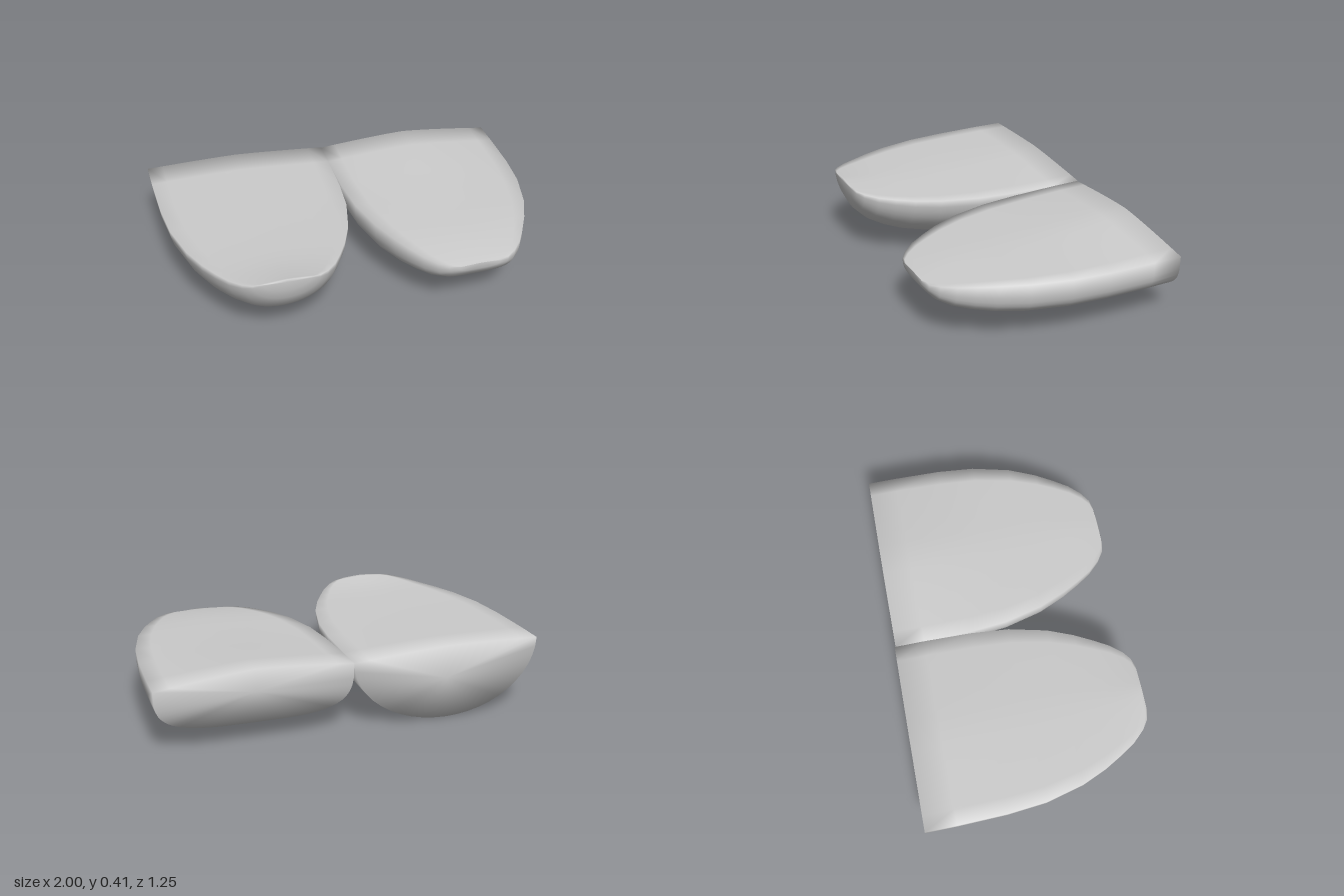
import * as THREE from 'three';

const TOP = 12, BOTTOM = 24;

// Closed hull lofted from stations: [z, half width, bottom y, -x rim y, +x rim y, ridge y]
function makeHull(name, cx, power, stations) {
  const pos = [], index = [], ring = TOP + BOTTOM;

  for (const [z, w, low, rimMinus, rimPlus, ridge] of stations) {
    const rim = u => rimMinus + (rimPlus - rimMinus) * (u + 1) / 2;
    const add = (u, y) => {
      const x = cx + u * w;
      // the straight back edge is slightly skewed
      pos.push(x, y, z + (z < 0 ? 0.017 * x * (z / -0.61) : 0));
    };
    // deck, from the +x rim over the ridge to the -x rim
    for (let i = 0; i < TOP; i++) {
      const u = 1 - 2 * i / TOP;
      add(u, rim(u) + (ridge - rim(0)) * (1 - Math.abs(u) ** 1.3));
    }
    // belly, a superellipse from the -x rim back to the +x rim
    for (let i = 0; i < BOTTOM; i++) {
      const a = Math.PI * i / BOTTOM, c = -Math.cos(a);
      const u = Math.sign(c) * Math.abs(c) ** (2 / power);
      const depth = Math.sin(a) ** (2 / power);
      add(u, rim(u) + (low - rim(u)) * depth);
    }
  }

  // skin between the stations
  for (let s = 0; s < stations.length - 1; s++) {
    for (let j = 0; j < ring; j++) {
      const a = s * ring + j, b = s * ring + (j + 1) % ring;
      index.push(a, b, a + ring, b, b + ring, a + ring);
    }
  }

  // back wall and nose, sharing the skin's points so the shading flows over
  const cap = (s, front) => {
    const [z, , low, , , ridge] = stations[s];
    const centre = pos.length / 3;
    pos.push(cx, (low + ridge) / 2 + 0.02, z + (front ? 0.003 : 0.017 * cx));
    for (let j = 0; j < ring; j++) {
      const a = s * ring + j, b = s * ring + (j + 1) % ring;
      if (front) index.push(centre, a, b);
      else index.push(centre, b, a);
    }
  };
  cap(0, false);
  cap(stations.length - 1, true);

  const geometry = new THREE.BufferGeometry();
  geometry.setAttribute('position', new THREE.Float32BufferAttribute(pos, 3));
  geometry.setIndex(index);
  geometry.computeVertexNormals();
  const mesh = new THREE.Mesh(geometry, new THREE.MeshStandardMaterial({ color: 0xcccccc }));
  mesh.name = name;
  return mesh;
}

export function createModel() {
  const group = new THREE.Group();
  group.name = 'hullPair';

  // deep, round-bellied hull on the right
  group.add(makeHull('roundHull', -0.5, 2, [
    [-0.61, 0.5, 0, 0.38, 0.355, 0.39],
    [-0.45, 0.5, 0.006, 0.38, 0.355, 0.387],
    [-0.2, 0.494, 0.018, 0.378, 0.355, 0.382],
    [0, 0.475, 0.033, 0.377, 0.357, 0.38],
    [0.2, 0.425, 0.06, 0.377, 0.36, 0.38],
    [0.33, 0.37, 0.09, 0.378, 0.363, 0.382],
    [0.42, 0.32, 0.125, 0.38, 0.368, 0.385],
    [0.5, 0.27, 0.17, 0.385, 0.375, 0.393],
    [0.56, 0.215, 0.23, 0.392, 0.385, 0.402],
    [0.59, 0.17, 0.29, 0.398, 0.393, 0.407],
    [0.603, 0.12, 0.345, 0.402, 0.4, 0.41],
  ]));

  // shallow, flat-bottomed hull on the left, its deck ridged towards the back
  group.add(makeHull('flatHull', 0.5, 3.6, [
    [-0.605, 0.5, 0.11, 0.355, 0.33, 0.387],
    [-0.45, 0.5, 0.108, 0.352, 0.33, 0.381],
    [-0.2, 0.494, 0.108, 0.345, 0.33, 0.363],
    [0, 0.475, 0.109, 0.34, 0.33, 0.35],
    [0.2, 0.425, 0.115, 0.335, 0.328, 0.343],
    [0.34, 0.365, 0.128, 0.328, 0.323, 0.336],
    [0.43, 0.315, 0.145, 0.32, 0.316, 0.328],
    [0.51, 0.265, 0.168, 0.312, 0.31, 0.318],
    [0.57, 0.21, 0.2, 0.304, 0.303, 0.308],
    [0.605, 0.16, 0.24, 0.298, 0.298, 0.302],
    [0.617, 0.11, 0.265, 0.295, 0.295, 0.298],
  ]));

  return group;
}
